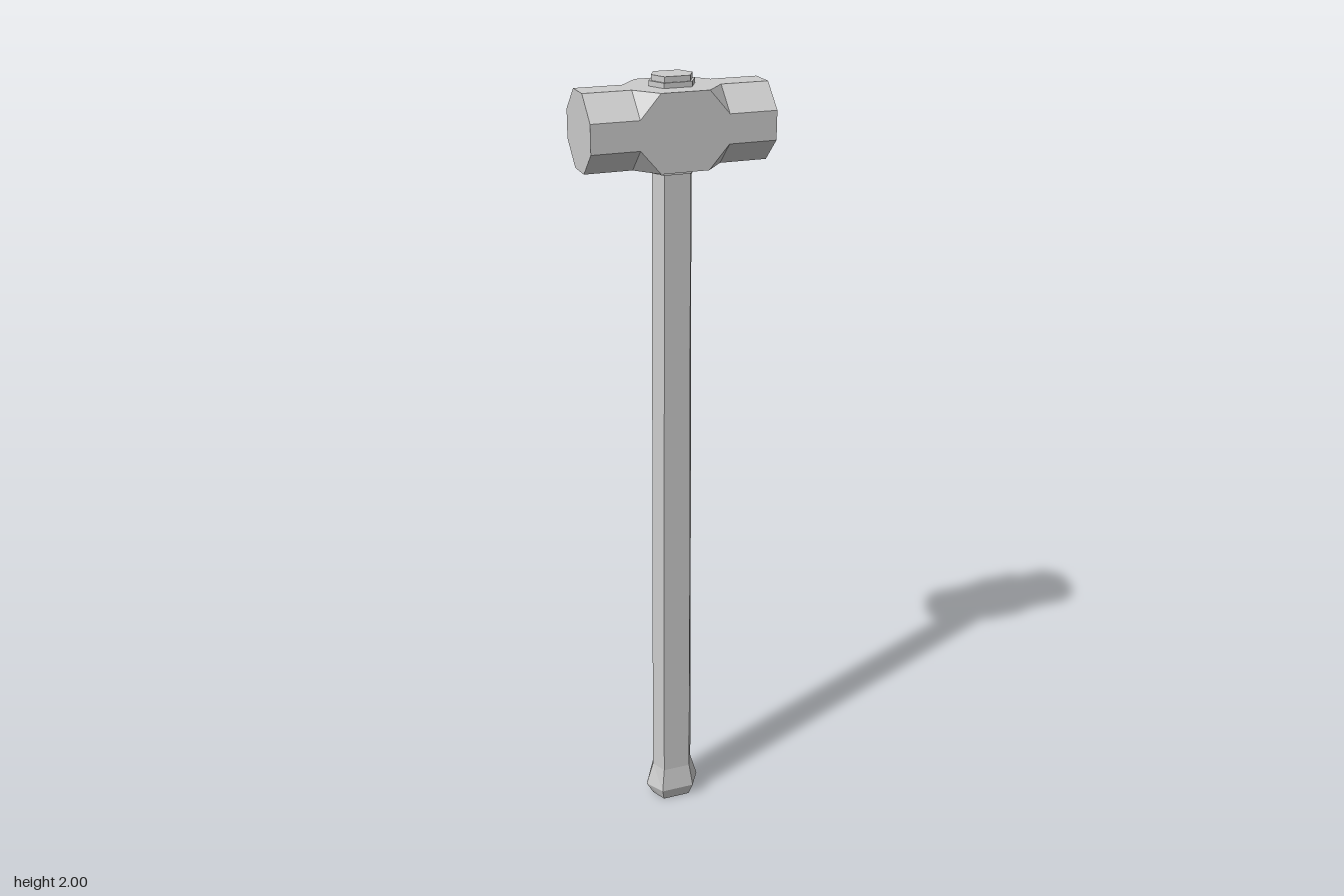
import * as THREE from 'three';

// Flat-shaded geometry from a list of triangle corners
function facets(points) {
  const g = new THREE.BufferGeometry().setFromPoints(points);
  g.computeVertexNormals();
  return g;
}

// Hammer head: one octant of faces mirrored to all eight
function headGeometry() {
  const L = 0.223, H = 0.09, D = 0.092; // half length, height, depth
  const neck = 0.107, mid = 0.058, c = 0.034; // chamfer start, block corner, octagon flat
  const faces = [
    [[neck, H, c], [L, H, c], [L, H, 0], [0, H, 0], [0, H, D], [mid, H, D]], // top
    [[neck, c, D], [L, c, D], [L, 0, D], [0, 0, D], [0, H, D], [mid, H, D]], // front
    [[neck, H, c], [L, H, c], [L, c, D], [neck, c, D]], // long chamfer
    [[neck, H, c], [neck, c, D], [mid, H, D]], // corner cut
    [[L, 0, 0], [L, H, 0], [L, H, c], [L, c, D], [L, 0, D]], // striking face
  ];
  const out = [];
  for (const sx of [1, -1]) for (const sy of [1, -1]) for (const sz of [1, -1]) {
    const outward = new THREE.Vector3(sx, sy, sz);
    for (const face of faces) {
      const p = face.map(([x, y, z]) => new THREE.Vector3(x * sx, y * sy, z * sz));
      for (let i = 1; i < p.length - 1; i++) {
        const normal = p[i].clone().sub(p[0]).cross(p[i + 1].clone().sub(p[0]));
        if (normal.dot(outward) > 0) out.push(p[0], p[i], p[i + 1]);
        else out.push(p[0], p[i + 1], p[i]);
      }
    }
  }
  return facets(out);
}

// Hexagonal loft, sections from bottom to top: [y, corner x, flat x, flat z]
function hexLoft(sections) {
  const rings = sections.map(([y, r, f, d]) =>
    [[r, 0], [f, d], [-f, d], [-r, 0], [-f, -d], [f, -d]].map(([x, z]) => new THREE.Vector3(x, y, z)));
  const out = [];
  for (let i = 0; i < rings.length - 1; i++) {
    const a = rings[i], b = rings[i + 1];
    for (let j = 0; j < 6; j++) {
      const k = (j + 1) % 6;
      out.push(a[j], b[j], b[k], a[j], b[k], a[k]);
    }
  }
  const bottom = rings[0], top = rings[rings.length - 1];
  for (let j = 1; j < 5; j++) {
    out.push(bottom[0], bottom[j], bottom[j + 1]);
    out.push(top[0], top[j + 1], top[j]);
  }
  return facets(out);
}

export function createModel() {
  const group = new THREE.Group();
  const grey = new THREE.MeshStandardMaterial({ color: 0xcccccc });
  grey.name = 'grey';
  const add = (name, geometry, y = 0) => {
    const mesh = new THREE.Mesh(geometry, grey);
    mesh.name = name;
    mesh.position.y = y;
    group.add(mesh);
  };

  add('head', headGeometry(), 1.885);

  // Handle with flared pommel and slight taper
  add('handle', hexLoft([
    [0, 0.056, 0.037, 0.039],
    [0.035, 0.075, 0.045, 0.05],
    [0.1, 0.056, 0.037, 0.041],
    [0.65, 0.054, 0.036, 0.041],
    [1.79, 0.049, 0.032, 0.039],
  ]));

  // Collar under the head and stub on top of it
  add('collar', hexLoft([
    [1.778, 0.056, 0.034, 0.042],
    [1.8, 0.056, 0.034, 0.042],
  ]));
  add('stub', hexLoft([
    [1.97, 0.056, 0.034, 0.042],
    [1.987, 0.056, 0.034, 0.042],
    [1.987, 0.05, 0.031, 0.038],
    [2, 0.05, 0.031, 0.038],
  ]));
  return group;
}
